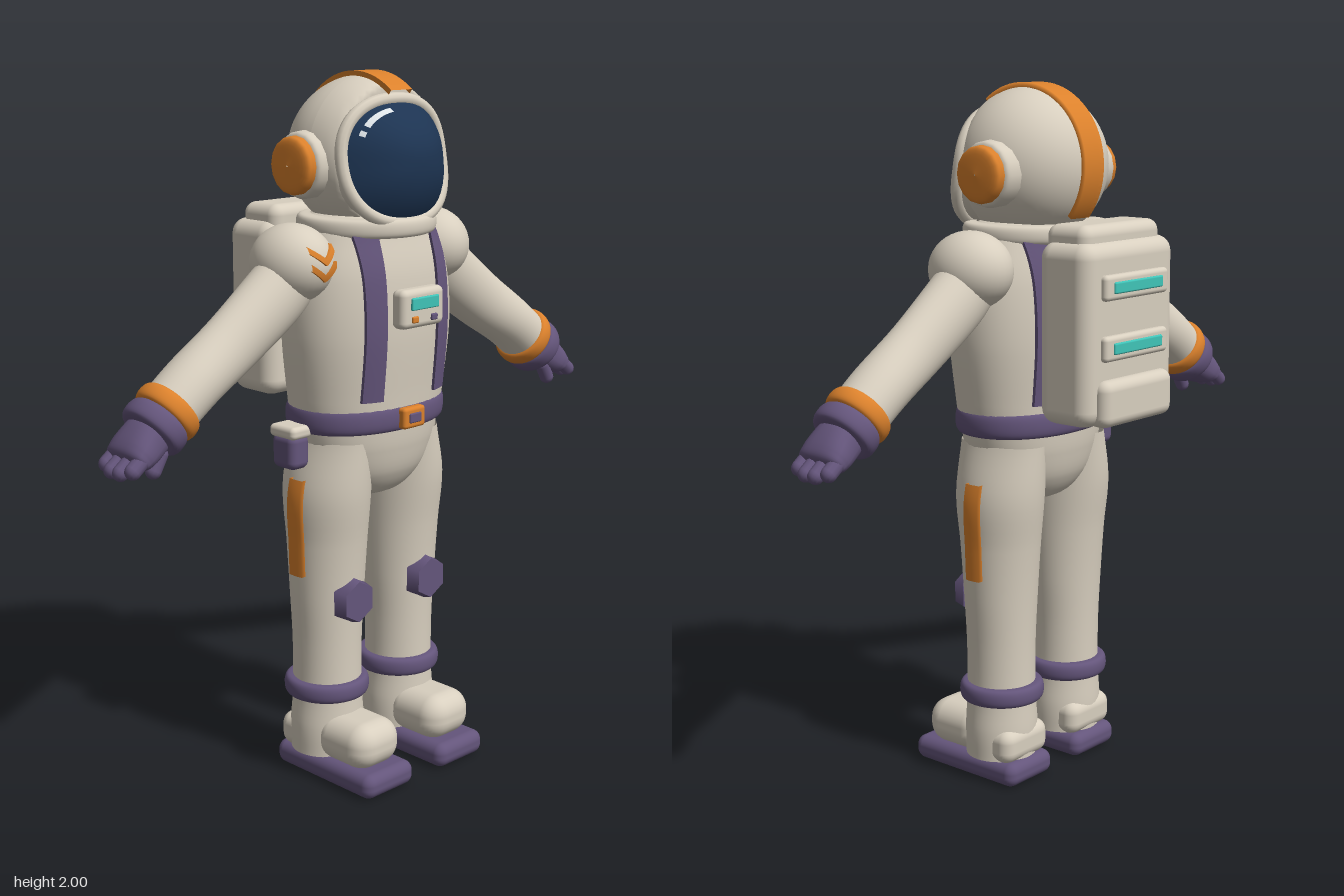
import * as THREE from 'three';
import { RoundedBoxGeometry } from 'three/addons/geometries/RoundedBoxGeometry.js';
import { ParametricGeometry } from 'three/addons/geometries/ParametricGeometry.js';

const paint = (name, color) => {
  const m = new THREE.MeshStandardMaterial({ color, side: THREE.DoubleSide });
  m.name = name;
  return m;
};
const V = (x, y, z) => new THREE.Vector3(x, y, z);
const N = 2.2; // roundness of body cross-sections

// Smooth centre and radii from rings of [y, rx, rz, cx, cz]
function sampler(rings) {
  const c = new THREE.CatmullRomCurve3(rings.map(([y, , , x = 0, z = 0]) => V(x, y, z)), false, 'catmullrom');
  const r = new THREE.CatmullRomCurve3(rings.map(([, rx, rz]) => V(rx, rz, 0)), false, 'catmullrom');
  return t => ({ c: c.getPoint(t), r: r.getPoint(t) });
}
function loft(rings, seg = 36, n = 2) {
  const at = sampler(rings);
  return new ParametricGeometry((u, v, p) => {
    const { c, r } = at(v), a = u * Math.PI * 2, s = Math.sin(a), k = Math.cos(a);
    const f = (Math.abs(s) ** n + Math.abs(k) ** n) ** (-1 / n);
    p.set(c.x + r.x * s * f, c.y, c.z + r.y * k * f);
  }, seg, (rings.length - 1) * 5);
}
// Closed band with softened edges
const band = (y0, y1, rx, rz, cx = 0, cz = 0, n = 2) => loft([
  [y0, rx - 0.04, rz - 0.04, cx, cz], [y0 + 0.004, rx - 0.008, rz - 0.008, cx, cz],
  [(y0 + y1) / 2, rx, rz, cx, cz],
  [y1 - 0.004, rx - 0.008, rz - 0.008, cx, cz], [y1, rx - 0.04, rz - 0.04, cx, cz]], 40, n);
// Thin strip laid on a surface: place(w across -1..1, lift, v along)
const strip = (place, lift = 0.009, stacks = 28) => new ParametricGeometry((u, v, p) => {
  const w = THREE.MathUtils.clamp((u - 0.5) * 3, -1, 1);
  p.copy(place(w, u < 0.08 || u > 0.92 ? -0.006 : lift, v));
}, 6, stacks);

export function createModel() {
  const model = new THREE.Group();
  model.name = 'spaceExplorer';
  const cream = paint('suitCream', 0xd8cfbf), purple = paint('trimPurple', 0x64557b);
  const orange = paint('accentOrange', 0xdb812c), navy = paint('visorNavy', 0x1d3452);
  const teal = paint('lightTeal', 0x40c4b8), white = paint('glintWhite', 0xe8eef2);

  const add = (parent, name, geo, mat, x = 0, y = 0, z = 0) => {
    const m = new THREE.Mesh(geo, mat);
    m.name = name;
    m.position.set(x, y, z);
    parent.add(m);
    return m;
  };
  const box = (parent, name, mat, w, h, d, x, y, z, r = 0.01) =>
    add(parent, name, new RoundedBoxGeometry(w, h, d, 4, r), mat, x, y, z);
  const group = name => {
    const g = new THREE.Group();
    g.name = name;
    model.add(g);
    return g;
  };

  // Torso and hips
  const torsoRings = [
    [1.03, 0.235, 0.168, 0, 0.068], [1.12, 0.25, 0.172, 0, 0.07], [1.3, 0.268, 0.183, 0, 0.072],
    [1.45, 0.255, 0.178, 0, 0.072], [1.55, 0.215, 0.16, 0, 0.07], [1.61, 0.17, 0.14, 0, 0.07],
    [1.63, 0.1, 0.08, 0, 0.07], [1.635, 0.002, 0.002, 0, 0.07]];
  add(model, 'torso', loft(torsoRings, 48, N), cream);
  add(model, 'hips', loft([
    [0.81, 0.003, 0.003, 0, 0.068], [0.83, 0.1, 0.085, 0, 0.068], [0.89, 0.175, 0.135, 0, 0.068],
    [0.97, 0.217, 0.158, 0, 0.068], [1.05, 0.233, 0.167, 0, 0.068]], 40, N), cream);
  add(model, 'neckRing', band(1.562, 1.617, 0.2, 0.19, 0, 0.07), cream);

  // Belt, buckle and hip pouch
  add(model, 'belt', band(1.025, 1.1, 0.252, 0.178, 0, 0.068, N), purple);
  box(model, 'buckle', orange, 0.085, 0.06, 0.03, 0, 1.063, 0.25);
  box(model, 'buckleCentre', purple, 0.046, 0.028, 0.01, 0, 1.063, 0.264, 0.004);
  box(model, 'pouch', purple, 0.07, 0.1, 0.09, -0.272, 0.98, 0.05, 0.022);
  box(model, 'pouchFlap', cream, 0.075, 0.036, 0.1, -0.272, 1.036, 0.05, 0.014);

  // Shoulder straps, front and back
  const torsoAt = sampler(torsoRings);
  for (const s of [1, -1]) for (const face of [1, -1]) {
    add(model, face > 0 ? 'frontStrap' : 'backStrap', strip((w, lift, v) => {
      const { c, r } = torsoAt(1 / 7 + v * 0.545), x = s * 0.13 + face * w * 0.03;
      const bulge = Math.max(0, 1 - Math.abs(x / r.x) ** N) ** (1 / N);
      return V(x, c.y, c.z + face * (r.y * bulge + lift));
    }), purple);
  }

  // Chest panel
  box(model, 'chestPanel', cream, 0.165, 0.108, 0.05, 0, 1.375, 0.27, 0.018);
  box(model, 'chestScreen', teal, 0.105, 0.034, 0.012, 0, 1.39, 0.296, 0.004);
  box(model, 'chestButton', orange, 0.024, 0.018, 0.012, -0.037, 1.347, 0.295, 0.004);
  box(model, 'chestButton', purple, 0.024, 0.018, 0.012, 0.037, 1.347, 0.295, 0.004);

  // Backpack with two lights and a lower pocket
  const pack = group('backpack');
  box(pack, 'packBody', cream, 0.4, 0.5, 0.18, 0, 1.335, -0.205, 0.045);
  box(pack, 'packLid', cream, 0.34, 0.1, 0.145, 0, 1.58, -0.192, 0.032);
  box(pack, 'packPocket', cream, 0.31, 0.13, 0.08, 0, 1.15, -0.286, 0.03);
  for (const y of [1.465, 1.3]) {
    box(pack, 'lightFrame', cream, 0.28, 0.07, 0.035, 0, y, -0.296, 0.013);
    box(pack, 'lightBar', teal, 0.215, 0.032, 0.014, 0, y, -0.312, 0.005);
  }

  // Helmet, flattened where the visor sits
  const helmet = group('helmet'), cy = 1.775, cz = 0.065;
  const shell = new THREE.SphereGeometry(0.215, 48, 32);
  const sp = shell.attributes.position;
  for (let i = 0; i < sp.count; i++) sp.setZ(i, Math.min(sp.getZ(i), 0.095));
  shell.computeVertexNormals();
  add(helmet, 'helmetShell', shell, cream, 0, cy, cz);
  add(helmet, 'helmetStripe', strip((w, lift, v) => {
    const a = Math.PI * (0.29 + v * 0.93), r = 0.216 + lift;
    return V(w * 0.04, cy + r * Math.sin(a), cz + r * Math.cos(a));
  }, 0.009, 40), orange);

  // Visor: bulging rounded oval
  const visorAt = (t, a, lift = 0) => {
    const c = Math.cos(a), s = Math.sin(a);
    const f = t * (Math.abs(c) ** 2.4 + Math.abs(s) ** 2.4) ** (-1 / 2.4);
    const edge = 0.2 - 0.03 * s - 0.03 * c * c;
    return V(0.19 * c * f, 1.765 + 0.162 * s * f, edge + (0.285 - edge) * (1 - t ** 2.3) + lift);
  };
  const TAU = Math.PI * 2;
  add(helmet, 'visor', new ParametricGeometry((u, v, p) =>
    p.copy(visorAt(Math.max(1 - v, 0.002), u * TAU)), 48, 14), navy);
  const rim = new THREE.CatmullRomCurve3(Array.from({ length: 40 }, (_, i) => visorAt(1, i / 40 * TAU)), true);
  add(helmet, 'visorRim', new THREE.TubeGeometry(rim, 72, 0.018, 10, true), cream);
  add(helmet, 'visorCollar', new ParametricGeometry((u, v, p) => {
    p.copy(visorAt(1, u * TAU));
    p.z = 0.14 + (p.z - 0.14) * v;
  }, 48, 2), cream);
  for (const [a0, a1] of [[1.82, 2.42], [2.52, 2.62]]) {
    add(helmet, 'visorGlint', new ParametricGeometry((u, v, p) =>
      p.copy(visorAt(0.89 - v * 0.06, a0 + (a1 - a0) * u, 0.004)), 10, 1), white);
  }

  for (const s of [1, -1]) {
    const side = s > 0 ? 'left' : 'right';

    // Ear pieces
    const ear = group(side + 'Ear');
    ear.position.set(0, 1.757, 0.04);
    ear.rotation.z = -s * Math.PI / 2;
    add(ear, 'earRing', loft([[0.15, 0.088, 0.088], [0.19, 0.092, 0.092], [0.222, 0.09, 0.09],
      [0.234, 0.08, 0.08], [0.235, 0.06, 0.06]], 16), cream);
    add(ear, 'earCap', loft([[0.22, 0.077, 0.077], [0.245, 0.079, 0.079], [0.262, 0.066, 0.066],
      [0.268, 0.002, 0.002]], 16), orange);

    // Shoulder and arm, built along local y
    add(model, side + 'Shoulder', new THREE.SphereGeometry(1, 32, 20), cream, s * 0.268, 1.5, 0.057)
      .scale.set(0.108, 0.108, 0.125);
    const arm = group(side + 'Arm');
    arm.position.set(s * 0.27, 1.49, 0.057);
    arm.rotation.z = -s * (Math.PI / 2 + 0.645);
    add(arm, 'sleeve', loft([
      [0, 0.085, 0.085, s * 0.01], [0.1, 0.093, 0.08, s * 0.018], [0.28, 0.087, 0.073, s * 0.013],
      [0.44, 0.08, 0.081, 0], [0.56, 0.078, 0.08, 0]]), cream);
    add(arm, 'wristBand', band(0.515, 0.57, 0.092, 0.092), orange);
    add(arm, 'gloveCuff', band(0.565, 0.625, 0.088, 0.094), purple);
    add(arm, 'palm', loft([[0.59, 0.055, 0.06], [0.64, 0.055, 0.068], [0.69, 0.045, 0.076],
      [0.715, 0.03, 0.066], [0.722, 0.002, 0.002]], 24, 2.5), purple);
    for (let i = 0; i < 4; i++) {
      const long = i % 3 ? 0.052 : 0.038;
      add(arm, 'finger', new THREE.CapsuleGeometry(0.022, long, 5, 12), purple,
        0, 0.7 + long / 2, (i - 1.5) * 0.036);
    }
    const thumb = add(arm, 'thumb', new THREE.CapsuleGeometry(0.022, 0.045, 5, 12), purple, s * 0.052, 0.665, 0.035);
    thumb.rotation.z = -s * 0.4;

    // Leg
    const leg = group(side + 'Leg');
    const legRings = [
      [0.07, 0.108, 0.102], [0.15, 0.109, 0.104], [0.25, 0.1, 0.1], [0.4, 0.1, 0.1],
      [0.55, 0.108, 0.106], [0.7, 0.113, 0.118], [0.85, 0.115, 0.136], [1.0, 0.092, 0.14]
    ].map(([y, rx, rz], i) => [y, rx, rz, s * (i > 6 ? 0.13 : 0.147), 0.062]);
    add(leg, 'trouserLeg', loft(legRings), cream);
    const legAt = sampler(legRings);
    add(leg, 'thighStripe', strip((w, lift, v) => {
      const { c, r } = legAt(0.633 + v * 0.267), dz = -s * w * 0.025;
      return V(c.x + s * (r.x * Math.sqrt(1 - (dz / r.y) ** 2) + lift), c.y, c.z + dz);
    }, 0.014), orange);
    const pad = add(leg, 'kneePad', new THREE.CylinderGeometry(0.06, 0.07, 0.04, 6).toNonIndexed(),
      purple, s * 0.147, 0.54, 0.175);
    pad.rotation.x = Math.PI / 2;
    add(leg, 'ankleBand', band(0.235, 0.292, 0.123, 0.123, s * 0.147, 0.06), purple);

    // Boot
    box(leg, 'bootToe', cream, 0.178, 0.135, 0.21, s * 0.148, 0.128, 0.19, 0.06);
    box(leg, 'bootHeel', cream, 0.19, 0.1, 0.11, s * 0.148, 0.115, 0.01, 0.035);
    box(leg, 'bootSole', purple, 0.192, 0.072, 0.39, s * 0.148, 0.036, 0.135, 0.03);
  }

  // Two chevrons on the right shoulder
  for (const y0 of [1.515, 1.47]) {
    add(model, 'shoulderChevron', strip((w, lift, v) => {
      const dx = (0.5 - v) * 0.09, y = y0 + Math.abs(dx) * 0.75 + w * 0.009, dy = y - 1.5;
      return V(-0.262 + dx, y, 0.057 + 0.125 * Math.sqrt(1 - (dx * dx + dy * dy) / 0.0117) + lift);
    }, 0.008, 12), orange);
  }
  return model;
}
